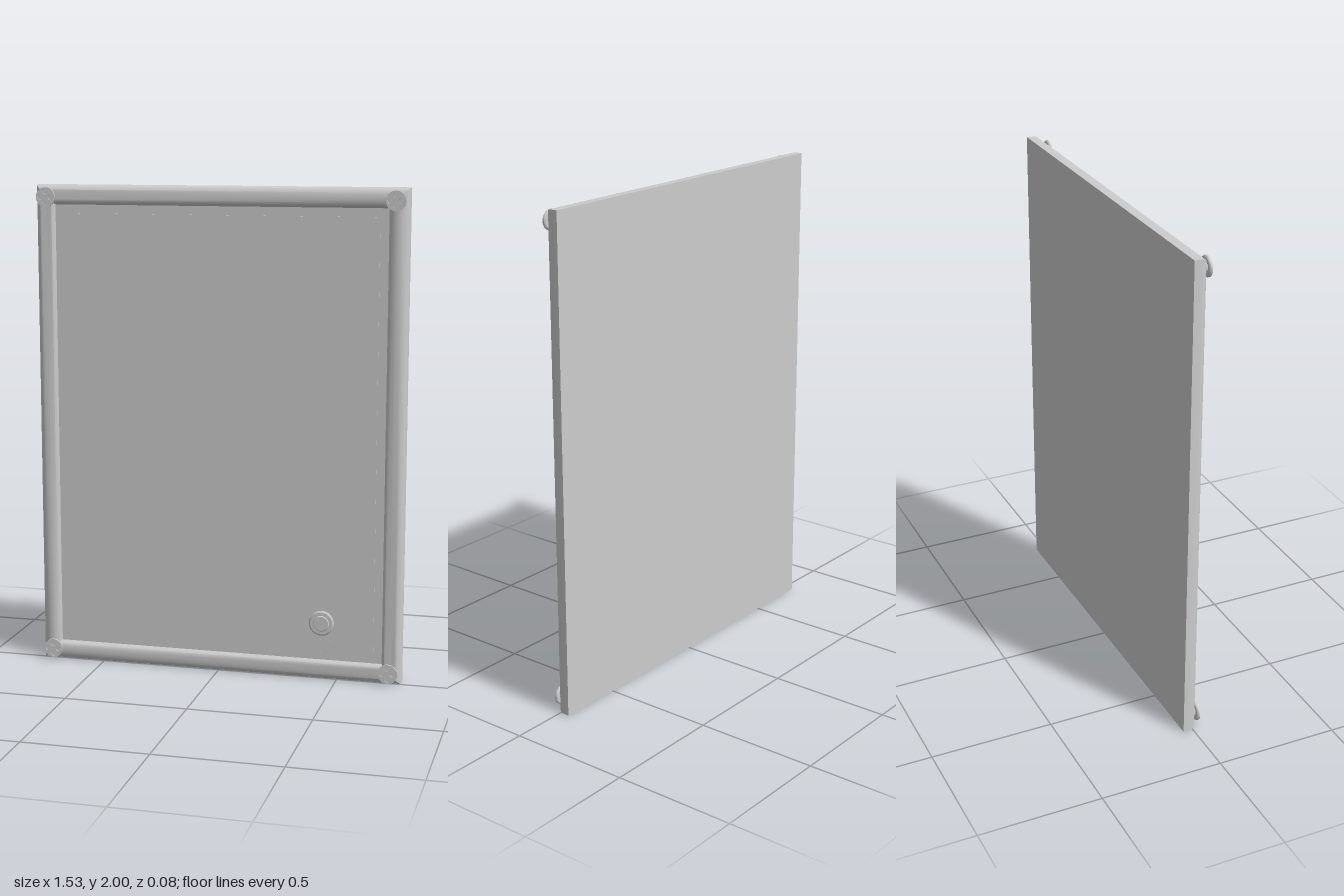
import * as THREE from 'three';
import { toCreasedNormals } from 'three/addons/utils/BufferGeometryUtils.js';

const W = 0.765, H = 2, BACK = -0.04, FACE = 0;

// Sweeps a profile of [inset, z] points round the rectangle with mitred corners
function mitredFrame(profile) {
  const corners = [[-1, -1], [1, -1], [1, 1], [-1, 1]];
  const at = ([sx, sy], [inset, z]) => [sx * (W - inset), H / 2 + sy * (H / 2 - inset), z];
  const pos = [];
  corners.forEach((c, i) => {
    const n = corners[(i + 1) % 4];
    for (let j = 0; j < profile.length - 1; j++) {
      const a = at(c, profile[j]), b = at(n, profile[j]);
      const d = at(c, profile[j + 1]), e = at(n, profile[j + 1]);
      pos.push(...a, ...b, ...e, ...a, ...e, ...d);
    }
  });
  const geo = new THREE.BufferGeometry();
  geo.setAttribute('position', new THREE.Float32BufferAttribute(pos, 3));
  return toCreasedNormals(geo, 0.6);
}

// Turned part whose axis points forward; points are [radius, z]
function turned(points, sides) {
  const geo = new THREE.LatheGeometry(points.map(p => new THREE.Vector2(...p)), sides);
  return toCreasedNormals(geo.rotateX(Math.PI / 2), 0.5);
}

export function createModel() {
  const grey = new THREE.MeshStandardMaterial({ color: 0xcccccc });
  grey.name = 'plain grey';
  const model = new THREE.Group();
  model.name = 'framedCertificate';
  const add = (name, geo, x = 0, y = 0, z = 0, parent = model) => {
    const mesh = new THREE.Mesh(geo, grey);
    mesh.name = name;
    mesh.position.set(x, y, z);
    parent.add(mesh);
    return mesh;
  };

  // Rounded moulding: back lip, outer wall, quarter round, inner slope
  const profile = [[0.08, BACK], [0, BACK], [0, -0.01]];
  for (let i = 1; i <= 8; i++) {
    const t = (i / 8) * Math.PI / 2;
    profile.push([0.045 * (1 - Math.cos(t)), -0.01 + 0.032 * Math.sin(t)]);
  }
  profile.push([0.058, 0.021], [0.068, 0.017], [0.075, 0.01], [0.08, FACE]);
  add('frame', mitredFrame(profile));

  // Backing board and the sheet lying on it
  add('backingBoard', new THREE.BoxGeometry(2 * (W - 0.08), H - 0.16, FACE - BACK), 0, 1, (FACE + BACK) / 2);
  add('sheet', new THREE.BoxGeometry(1.3, 1.765, 0.002), 0, 1.0025, FACE + 0.001);

  // Seal with two ribbon tails
  const seal = new THREE.Group();
  seal.name = 'seal';
  seal.position.set(0.435, 0.235, FACE + 0.002);
  model.add(seal);
  add('sealDisc', turned([[0.052, 0], [0.052, 0.005], [0.046, 0.009], [0.033, 0.009],
    [0.03, 0.013], [0, 0.013]], 24), 0, 0, 0, seal);
  for (const s of [-1, 1]) {
    const tail = new THREE.Shape([[0, 0], [0.03, 0], [0.036, -0.135], [0.02, -0.12], [0.004, -0.135]]
      .map(([x, y]) => new THREE.Vector2(s * x, y)));
    add('ribbonTail', new THREE.ExtrudeGeometry(tail, { depth: 0.001, bevelEnabled: false }), 0, 0, 0, seal);
  }

  // Corner rosettes: a short stem, a dish and a four-holed cap
  const stemGeo = turned([[0.022, -0.006], [0.022, 0.006], [0.036, 0.006], [0.04, 0.01],
    [0.04, 0.013], [0, 0.013]], 24);
  const cap = new THREE.Shape().absarc(0, 0, 0.04, 0, Math.PI * 2);
  for (let i = 0; i < 4; i++) {
    const a = i * Math.PI / 2;
    cap.holes.push(new THREE.Path().absarc(0.022 * Math.cos(a), 0.022 * Math.sin(a), 0.011, 0, Math.PI * 2, true));
  }
  const capGeo = new THREE.ExtrudeGeometry(cap, { depth: 0.004, bevelEnabled: false, curveSegments: 12 });
  for (const x of [-0.715, 0.715]) {
    for (const y of [0.05, 1.95]) {
      const rosette = new THREE.Group();
      rosette.name = 'cornerRosette';
      rosette.position.set(x, y, 0.021);
      model.add(rosette);
      add('rosetteStem', stemGeo, 0, 0, 0, rosette);
      add('rosetteCap', capGeo, 0, 0, 0.013, rosette);
    }
  }
  return model;
}
